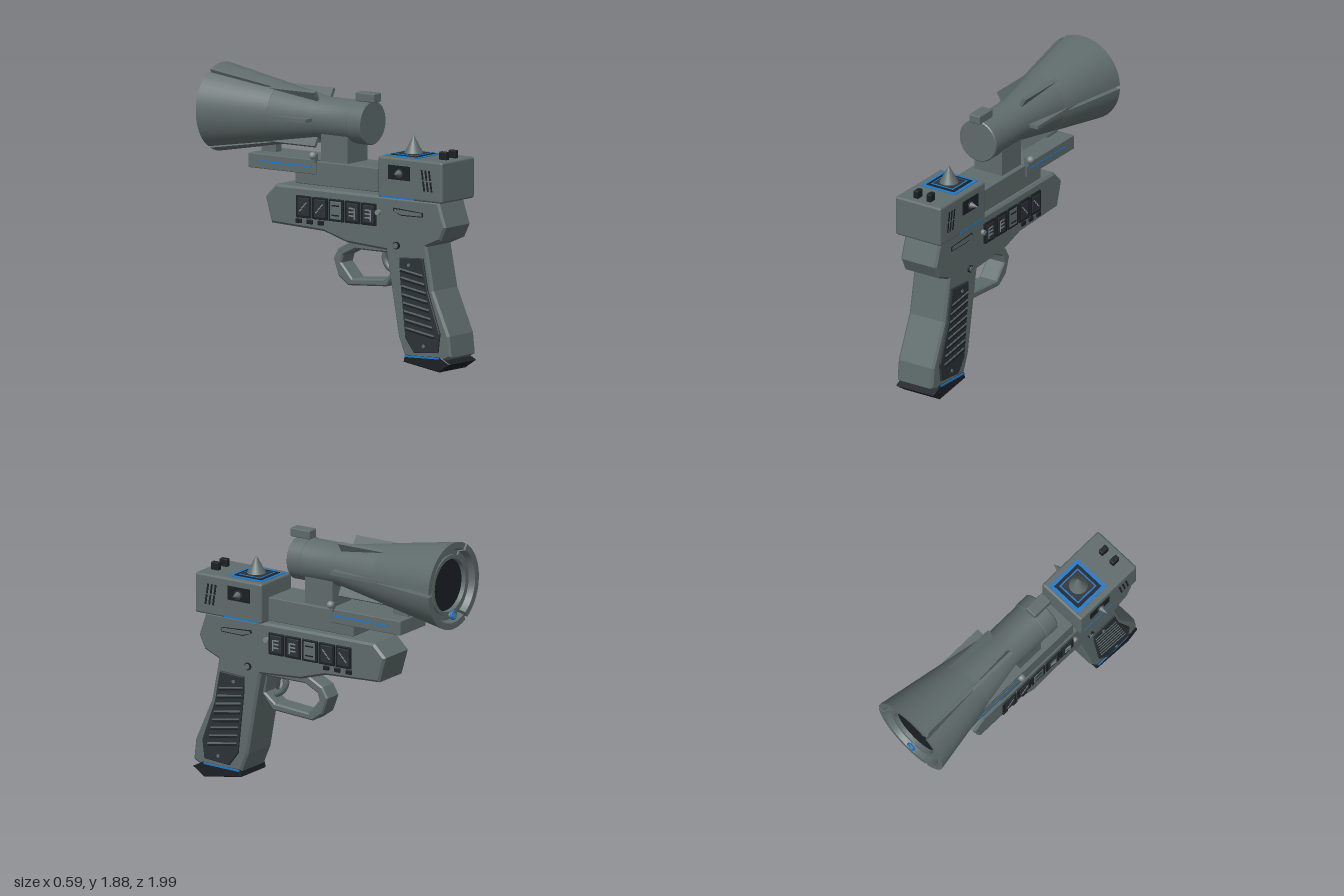
import * as THREE from 'three';
import { toCreasedNormals } from 'three/addons/utils/BufferGeometryUtils.js';
import { RoundedBoxGeometry } from 'three/addons/geometries/RoundedBoxGeometry.js';

const paint = (name, color) => Object.assign(new THREE.MeshStandardMaterial({ color }), { name });

export function createModel() {
  const model = new THREE.Group();
  model.name = 'sciFiPistol';
  const body = paint('gunmetal', 0x5f6b6b);
  body.side = THREE.DoubleSide;
  const dark = paint('charcoal', 0x2b3237);
  const black = paint('black', 0x1b2025);
  const blue = paint('blue', 0x1f78c8);
  const light = paint('paleSteel', 0x7c8789);

  const add = (name, geo, mat, x = 0, y = 0, z = 0, parent = model) => {
    const m = new THREE.Mesh(geo, mat);
    m.name = name;
    m.position.set(x, y, z);
    parent.add(m);
    return m;
  };
  const box = (name, mat, w, h, d, x, y, z) => add(name, new THREE.BoxGeometry(w, h, d), mat, x, y, z);
  const rbox = (name, mat, w, h, d, x, y, z, r = 0.012) =>
    add(name, new RoundedBoxGeometry(w, h, d, 2, r), mat, x, y, z);

  // Side profile given as [z, y], extruded across x around cx
  const vec = (pts) => pts.map(([a, b]) => new THREE.Vector2(a, b));
  const prism = (name, mat, pts, halfW, bevel = 0.012, cx = 0, hole = null) => {
    const shape = new THREE.Shape(vec(pts));
    if (hole) shape.holes.push(new THREE.Path(vec(hole)));
    const geo = new THREE.ExtrudeGeometry(shape, {
      depth: 2 * (halfW - bevel), bevelEnabled: bevel > 0, bevelSize: bevel,
      bevelThickness: bevel, bevelOffset: -bevel, bevelSegments: 1,
    });
    geo.translate(0, 0, bevel - halfW).rotateY(-Math.PI / 2);
    return add(name, geo, mat, cx);
  };
  // Disc or stud whose axis runs along x
  const stud = (name, mat, r, len, x, y, z) =>
    add(name, new THREE.CylinderGeometry(r, r, len, 16).rotateZ(Math.PI / 2), mat, x, y, z);

  // Frame and grip in one profile
  prism('frame', body, [[0.9, 1.137], [0.957, 0.97], [0.914, 0.88], [0.8, 0.83], [0.856, 0.54], [0.985, 0.25],
    [1.0, 0.11], [0.95, 0.085], [0.62, 0.085], [0.567, 0.21], [0.465, 0.78], [0.144, 0.8], [-0.05, 0.858],
    [-0.48, 0.877], [-0.53, 1.05], [-0.44, 1.137]], 0.142, 0.015);
  prism('gripBase', black, [[1.0, 0.064], [0.92, 0.107], [0.625, 0.096], [0.615, 0.05], [0.91, 0.005]], 0.148, 0.006);

  // Trigger and its guard
  prism('triggerGuard', body, [[0.5, 0.79], [0.5, 0.625], [0.417, 0.524], [0.1, 0.503], [0.02, 0.56],
    [-0.022, 0.674], [0.02, 0.745], [0.144, 0.81]], 0.07, 0.01, 0,
  [[0.465, 0.75], [0.16, 0.75], [0.06, 0.7], [0.045, 0.65], [0.134, 0.55], [0.396, 0.572], [0.478, 0.635]]);
  const curve = new THREE.CatmullRomCurve3([[0.37, 0.77], [0.355, 0.7], [0.38, 0.65], [0.425, 0.62]]
    .map(([z, y]) => new THREE.Vector3(0, y, z)));
  add('trigger', new THREE.TubeGeometry(curve, 12, 0.022, 8), body);
  add('triggerTip', new THREE.SphereGeometry(0.022, 10, 8), body, 0, 0.62, 0.425);

  // Rear housing with its top emitter
  rbox('rearHousing', body, 0.36, 0.275, 0.53, 0, 1.273, 0.695, 0.016);
  [[0.27, blue], [0.22, black], [0.175, blue], [0.155, dark]].forEach(([s, mat], i) =>
    box('emitterPlate', mat, s, 0.008, s, 0, 1.411 + i * 0.003, 0.587));
  add('emitterCone', new THREE.ConeGeometry(0.068, 0.13, 24), body, 0, 1.48, 0.592);
  for (const s of [-1, 1]) rbox('topButton', black, 0.036, 0.06, 0.06, s * 0.05, 1.433, 0.88, 0.006);

  // Rail, upper box and neck carrying the barrel
  rbox('lowerRail', body, 0.284, 0.16, 0.68, 0, 1.24, 0.06, 0.006);
  rbox('upperRail', body, 0.3, 0.098, 0.56, 0, 1.28, -0.38, 0.006);
  box('barrelNeck', body, 0.22, 0.2, 0.22, 0, 1.4, 0.02);
  box('railSpacer', body, 0.06, 0.08, 0.12, 0, 1.365, -0.58);

  // Barrel parts, turned as [radius, distance towards the muzzle]
  const barrel = new THREE.Group();
  barrel.name = 'barrel';
  barrel.position.y = 1.591;
  model.add(barrel);
  const turn = (name, pts, start = 0, len = Math.PI * 2, mat = body) => {
    const geo = new THREE.LatheGeometry(vec(pts), Math.ceil(len * 7), start, len).rotateX(-Math.PI / 2);
    return add(name, toCreasedNormals(geo, 0.5), mat, 0, 0, 0, barrel);
  };
  turn('barrelCore', [[0, -0.255], [0.14, -0.255], [0.147, -0.248], [0.147, -0.15], [0.142, -0.145],
    [0.142, 0.13], [0.203, 0.47], [0.206, 0.955], [0.18, 0.955], [0.175, 0.92]]);
  add('lens', new THREE.CircleGeometry(0.182, 40).rotateY(Math.PI), black, 0, 0, -0.925, barrel);

  // Flared shell in three segments separated by slots
  const shell = [[0.2, 0.47], [0.204, 0.47], [0.295, 0.983], [0.252, 0.983], [0.238, 0.94], [0.2, 0.94], [0.2, 0.47]];
  const gap = 0.085;
  for (let k = 0; k < 3; k++) {
    const start = Math.PI / 2 + k * Math.PI * 2 / 3 + gap / 2;
    const len = Math.PI * 2 / 3 - gap;
    turn('flareSegment', shell, start, len);
    for (const phi of [start, start + len]) {
      const cap = new THREE.ShapeGeometry(new THREE.Shape(vec(shell.slice(0, -1))));
      add('flareSlotWall', cap.rotateY(phi - Math.PI / 2).rotateX(-Math.PI / 2), body, 0, 0, 0, barrel);
    }
  }
  for (let i = 0; i < 6; i++) {
    const fin = new THREE.BoxGeometry(0.11, 0.024, 0.37).translate(0.156, 0, -0.325);
    add('coolingFin', fin, body, 0, 0, 0, barrel).rotation.z = i * Math.PI / 3;
  }
  rbox('rearSight', body, 0.085, 0.06, 0.155, 0, 1.762, 0.217, 0.008);
  add('muzzleRing', new THREE.TorusGeometry(0.024, 0.01, 8, 20), blue, 0, 1.39, -0.98);
  add('muzzleStud', new THREE.CylinderGeometry(0.018, 0.018, 0.06, 16).rotateX(Math.PI / 2), light, 0, 1.39, -0.96);

  // Details repeated on both flanks
  for (const s of [-1, 1]) {
    // Grip panel, ridges and screws
    prism('gripPanel', dark, [[0.78, 0.754], [0.588, 0.743], [0.592, 0.62], [0.636, 0.21], [0.706, 0.118],
      [0.904, 0.134], [0.92, 0.262], [0.82, 0.54]], 0.012, 0.005, s * 0.144);
    for (let i = 0; i < 8; i++) {
      const y = 0.655 - i * 0.056;
      const z = 0.69 + i * 0.01;
      box('gripRidge', body, 0.008, 0.01, 0.19 + i * 0.006, s * 0.157, y, z).rotation.x = 0.16;
      box('gripGroove', black, 0.006, 0.012, 0.19 + i * 0.006, s * 0.156, y - 0.014, z).rotation.x = 0.16;
    }
    stud('gripScrew', body, 0.012, 0.01, s * 0.157, 0.7, 0.668);
    stud('gripScrew', body, 0.012, 0.01, s * 0.157, 0.17, 0.79);
    box('gripBaseStripe', blue, 0.006, 0.012, 0.28, s * 0.147, 0.094, 0.77).rotation.x = -0.03;

    // Row of display panels
    for (let i = 0; i < 5; i++) {
      const z = 0.332 - i * 0.134;
      rbox('displayFrame', black, 0.02, 0.148, 0.122, s * 0.144, 1.008, z, 0.004);
      rbox('displayFace', i === 2 ? body : dark, 0.016, 0.122, 0.092, s * 0.149, 1.008, z, 0.006);
      if (i < 2) {
        box('displayMark', light, 0.006, 0.075, 0.01, s * 0.157, 1.0, z + 0.022);
        for (let j = 0; j < 3; j++) box('displayMark', light, 0.006, 0.01, 0.04, s * 0.157, 0.985 + j * 0.025, z - 0.005);
      } else if (i === 2) {
        for (const y of [0.975, 1.04]) box('displayMark', black, 0.006, 0.009, 0.06, s * 0.157, y, z);
      } else {
        for (let j = -1; j < 2; j++) {
          box('displayMark', light, 0.006, 0.008, 0.026, s * 0.157, 1.008 - j * 0.022, z - j * 0.02).rotation.x = -0.7;
        }
      }
    }
    for (const z of [-0.065, -0.155, -0.245]) rbox('sideButton', black, 0.02, 0.03, 0.045, s * 0.144, 0.912, z, 0.004);
    stud('frontPin', light, 0.018, 0.03, s * 0.148, 1.027, 0.41);
    stud('pivotPinRim', black, 0.025, 0.02, s * 0.146, 0.82, 0.56);
    stud('pivotPin', body, 0.019, 0.03, s * 0.148, 0.82, 0.56);
    const slot = [[0.775, 1.055], [0.775, 1.025], [0.6, 1.022], [0.53, 1.05], [0.535, 1.07]];
    prism('sideSlotRim', black, slot, 0.004, 0, s * 0.143);
    prism('sideSlot', body, slot.map(([z, y]) => [0.66 + (z - 0.66) * 0.93, 1.045 + (y - 1.045) * 0.7]), 0.006, 0, s * 0.144);

    // Housing window, side spike, vents and stripe
    box('housingWindow', black, 0.008, 0.095, 0.178, s * 0.181, 1.313, 0.608);
    stud('spikeCollar', dark, 0.032, 0.012, s * 0.184, 1.31, 0.612);
    add('sideSpike', new THREE.ConeGeometry(0.026, 0.065, 16).rotateZ(-s * Math.PI / 2), body, s * 0.215, 1.31, 0.612);
    for (let i = 0; i < 3; i++) {
      for (const [y, dz] of [[1.315, 0], [1.24, 0.012]]) {
        box('ventSlot', black, 0.006, 0.068, 0.013, s * 0.18, y, 0.798 + i * 0.03 + dz).rotation.x = -0.15;
      }
    }
    box('housingStripe', blue, 0.008, 0.012, 0.27, s * 0.178, 1.145, 0.59);

    // Rail stripe and clamp knob
    box('railStripe', blue, 0.006, 0.01, 0.43, s * 0.15, 1.282, -0.35);
    add('clampKnob', new THREE.SphereGeometry(0.025, 14, 10), light, s * 0.17, 1.36, -0.115);
    box('clampStem', body, 0.035, 0.06, 0.03, s * 0.148, 1.34, -0.115);
  }
  return model;
}
